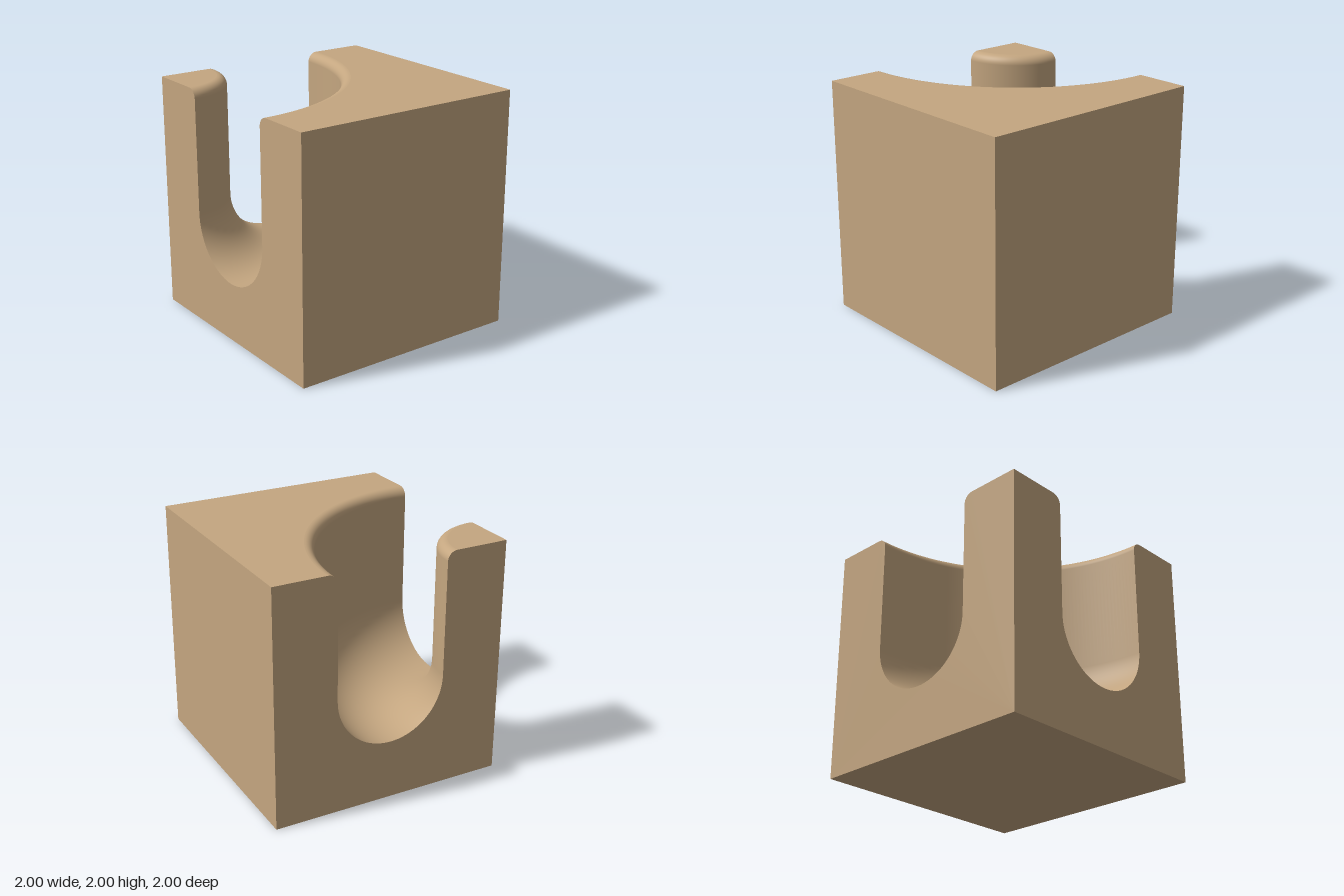
import * as THREE from 'three';

const SIZE = 2;        // cube edge
const MID = 1;         // radius of the track's centre line around the back right corner
const HALF = 0.47;     // half width of the groove
const FLOOR = 0.5;     // lowest point of the groove
const FILLET = 0.08;   // rounding of the groove's top edges
const STEPS = 72;      // segments along the quarter turn

// Points on an arc, angles in radians
function arc(cx, cy, r, from, to, n) {
  return Array.from({ length: n + 1 }, (_, i) => {
    const a = from + (to - from) * i / n;
    return new THREE.Vector2(cx + r * Math.cos(a), cy + r * Math.sin(a));
  });
}

// Groove cross-section: outer lip, round floor, inner lip
function grooveProfile() {
  const y = SIZE - FILLET;
  return [
    ...arc(MID + HALF + FILLET, y, FILLET, Math.PI / 2, Math.PI, 10),
    ...arc(MID, FLOOR + HALF, HALF, 0, -Math.PI, 40),
    ...arc(MID - HALF - FILLET, y, FILLET, 0, Math.PI / 2, 10),
  ];
}

export function createModel() {
  const group = new THREE.Group();
  const wood = new THREE.MeshStandardMaterial({ color: 0xc4a680 });
  wood.name = 'wood';

  const add = (name, geometry, x, y, z) => {
    const mesh = new THREE.Mesh(geometry, wood);
    mesh.name = name;
    mesh.position.set(x, y, z);
    group.add(mesh);
  };
  const flat = (points) => new THREE.ShapeGeometry(new THREE.Shape(points));
  const v = (x, y) => new THREE.Vector2(x, y);
  const profile = grooveProfile();

  // Plain sides and base
  const plane = () => new THREE.PlaneGeometry(SIZE, SIZE);
  add('frontFace', plane(), 0, 1, 1);
  add('leftFace', plane().rotateY(Math.PI / 2), 1, 1, 0);
  add('baseFace', plane().rotateX(Math.PI / 2), 0, 0, 0);

  // Two sides where the groove opens
  const openSide = [v(0, 0), v(SIZE, 0), v(SIZE, SIZE), ...profile, v(0, SIZE)];
  add('rightOpenFace', flat(openSide).rotateY(-Math.PI / 2), -1, 0, -1);
  add('backOpenFace', flat(openSide.map((p) => v(-p.x, p.y))).rotateY(Math.PI), -1, 0, -1);

  // Top surface on both sides of the groove
  const quarter = (r) => arc(0, 0, r, 0, -Math.PI / 2, STEPS);
  const outerTop = [...quarter(MID + HALF + FILLET), v(0, -SIZE), v(SIZE, -SIZE), v(SIZE, 0)];
  const postTop = [v(0, 0), ...quarter(MID - HALF - FILLET)];
  add('outerTop', flat(outerTop).rotateX(-Math.PI / 2), -1, SIZE, -1);
  add('postTop', flat(postTop).rotateX(-Math.PI / 2), -1, SIZE, -1);

  // Curved track swept a quarter turn around the corner
  add('curvedGroove', new THREE.LatheGeometry(profile, STEPS, 0, Math.PI / 2), -1, 0, -1);

  return group;
}
